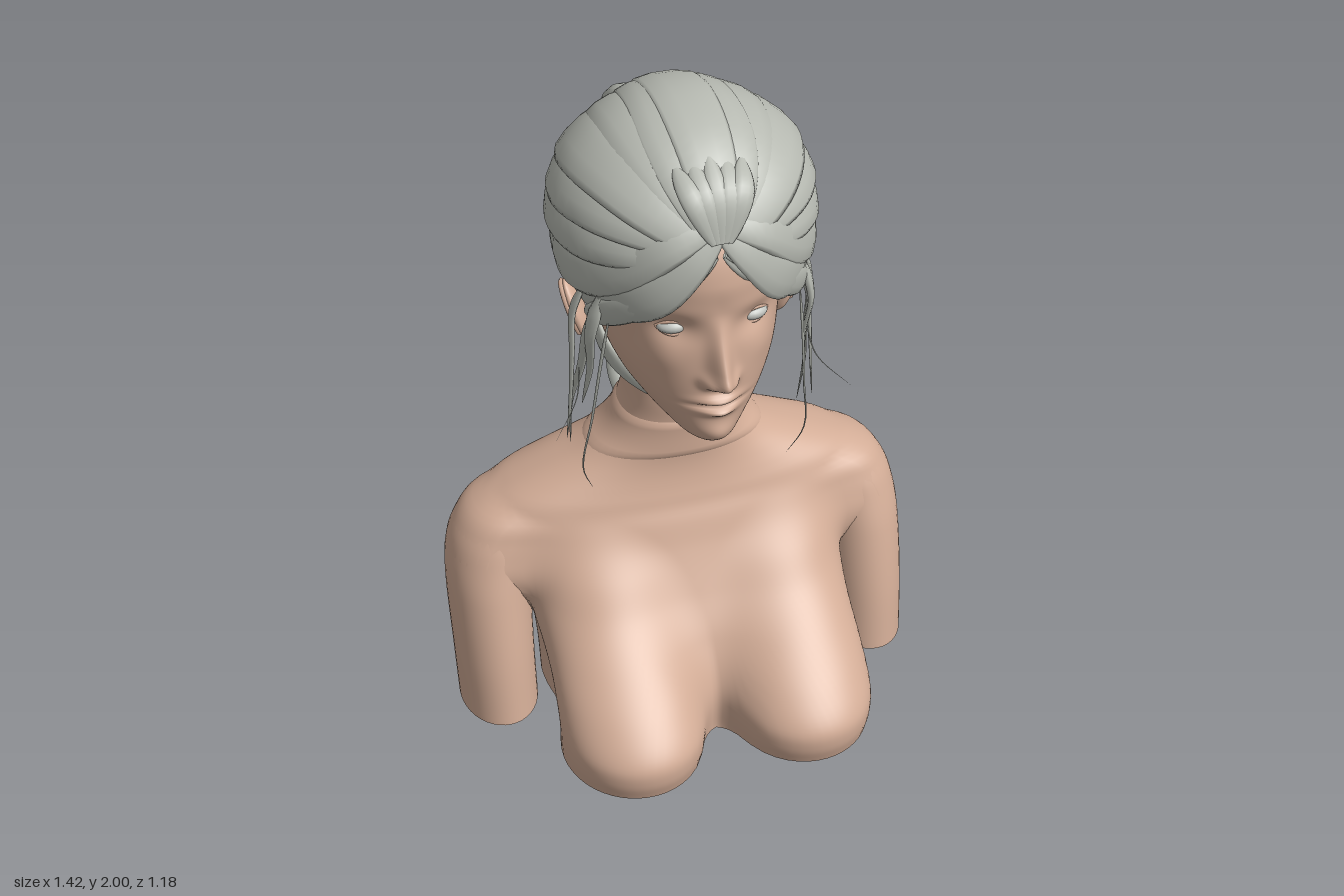
import * as THREE from 'three';
import { mergeVertices, mergeGeometries } from 'three/addons/utils/BufferGeometryUtils.js';

const { sin, cos, abs, sqrt, pow, exp, min, max, PI } = Math;
const V = (x, y, z) => new THREE.Vector3(x, y, z);
const material = (name, color) => Object.assign(new THREE.MeshStandardMaterial({ color }), { name, side: THREE.DoubleSide });

// Smooth surface from a rule: f(u, v) gives a point, u and v run 0..1
function grid(f, nu, nv) {
  const pos = [], idx = [];
  for (let i = 0; i <= nu; i++) for (let j = 0; j <= nv; j++) pos.push(...f(i / nu, j / nv).toArray());
  for (let i = 0; i < nu; i++) for (let j = 0; j < nv; j++) {
    const a = i * (nv + 1) + j, b = a + nv + 1;
    idx.push(a, b, a + 1, b, b + 1, a + 1);
  }
  let g = new THREE.BufferGeometry();
  g.setAttribute('position', new THREE.Float32BufferAttribute(pos, 3));
  g.setIndex(idx);
  g = mergeVertices(g, 1e-5);
  g.computeVertexNormals();
  return g;
}

// Smooth interpolation through rows of [key, value, value...]
function track(rows) {
  const n = rows.length - 1;
  const slope = (i, c) => {
    const a = rows[max(0, i - 1)], b = rows[min(n, i + 1)];
    return (b[c] - a[c]) / (b[0] - a[0]);
  };
  return y => {
    let i = 0;
    while (i < n - 1 && y > rows[i + 1][0]) i++;
    const a = rows[i], b = rows[i + 1], d = b[0] - a[0], t = min(1, max(0, (y - a[0]) / d));
    const t2 = t * t, t3 = t2 * t;
    return a.slice(1).map((p, k) => p * (2 * t3 - 3 * t2 + 1) + b[k + 1] * (3 * t2 - 2 * t3)
      + d * (slope(i, k + 1) * (t3 - 2 * t2 + t) + slope(i + 1, k + 1) * (t3 - t2)));
  };
}

// Lock of hair: flattened tapered sweep, its flat side facing away from a centre
const softTaper = t => pow(sin(PI * (0.04 + 0.92 * t)), 0.6);
const pointTaper = t => min(1, 0.35 + t * 4) * pow(1 - t, 0.7) + 0.01;
function lock(points, w, h, taper = softTaper, n = 24, centre = V(0, 1.55, 0), sides = 10) {
  const curve = new THREE.CatmullRomCurve3(points.map(p => (p.isVector3 ? p : V(...p))));
  return grid((u, v) => {
    const p = curve.getPoint(u), T = curve.getTangent(u), N = p.clone().sub(centre);
    N.addScaledVector(T, -N.dot(T)).normalize();
    const B = T.clone().cross(N), a = v * 2 * PI, k = taper(u);
    return p.addScaledVector(B, cos(a) * w * k).addScaledVector(N, sin(a) * h * k);
  }, n, sides);
}

// Torso and neck rows: y, half width, front z, back z, middle z
const torsoRow = track([
  [0, 0.44, 0.35, -0.28, -0.02], [0.15, 0.445, 0.35, -0.32, -0.03], [0.3, 0.46, 0.29, -0.355, -0.05],
  [0.42, 0.49, 0.22, -0.37, -0.08], [0.54, 0.545, 0.155, -0.362, -0.1], [0.62, 0.57, 0.12, -0.345, -0.11],
  [0.66, 0.56, 0.1, -0.335, -0.11], [0.69, 0.525, 0.09, -0.325, -0.11], [0.72, 0.465, 0.08, -0.312, -0.11],
  [0.76, 0.38, 0.07, -0.292, -0.11], [0.8, 0.3, 0.065, -0.272, -0.1], [0.85, 0.23, 0.065, -0.255, -0.09],
  [0.9, 0.188, 0.066, -0.242, -0.08], [0.95, 0.168, 0.07, -0.228, -0.08], [1.02, 0.155, 0.078, -0.215, -0.07],
  [1.2, 0.152, 0.08, -0.21, -0.07]]);
// Chest rows: y, front z, radius
const chestRow = track([[0, 0.58, 0.21], [0.06, 0.597, 0.213], [0.12, 0.59, 0.213], [0.2, 0.52, 0.21], [0.3, 0.4, 0.203],
  [0.4, 0.28, 0.19], [0.5, 0.18, 0.17], [0.6, 0.05, 0.13], [0.65, -0.03, 0.1]]);
// Arm rows: y, centre x, radius x, centre z, radius z
const armRow = track([[0, 0.587, 0.117, 0.005, 0.165], [0.2, 0.588, 0.12, -0.025, 0.165], [0.4, 0.582, 0.126, -0.075, 0.17],
  [0.5, 0.567, 0.13, -0.1, 0.165], [0.58, 0.545, 0.124, -0.11, 0.148], [0.64, 0.52, 0.095, -0.115, 0.115], [0.68, 0.5, 0.02, -0.12, 0.02]]);
const blend = (a, b, k) => min(a, b) - max(k - abs(a - b), 0) ** 2 / k / 4;

// Blend chest and shoulders into the torso, then find the surface along a ray from the body axis
function bodyPoint(a, y, grow = 0) {
  const [w, zf, zb, zm] = torsoRow(y), [cf, cr] = chestRow(y), [ax, aw, az, ad] = armRow(y);
  const cd = cr * 1.12, dx = sin(a), dz = cos(a), armFade = max(0, (0.52 - y) / 0.22) ** 2 * 0.12;
  const backPower = 2.2 + 0.9 * exp(-(((y - 0.52) / 0.22) ** 2));
  const inside = r => {
    const x = abs(r * dx), z = zm + r * dz, front = z > zm, depth = front ? zf - zm : zm - zb, n = front ? 2.2 : backPower;
    let d = (pow(pow(x / w, n) + pow(abs(z - zm) / depth, n), 1 / n) - 1) * min(w, depth);
    if (y < 0.65) d = blend(d, (sqrt(((x - 0.26) / cr) ** 2 + ((z - cf + cd) / cd) ** 2) - 1) * cr, 0.1);
    // The shoulder section reaches inward so that it fills the fold above the armpit
    const sx = x > ax ? x - ax : min(0, x - ax + 0.16);
    if (y > 0.28 && y < 0.68) d = blend(d, (sqrt((sx / aw) ** 2 + ((z - az) / ad) ** 2) - 1) * aw + armFade, 0.05);
    return d < 0;
  };
  let r = 0.9;
  while (r > 0.02 && !inside(r)) r -= 0.008;
  let lo = r, hi = r + 0.008;
  for (let i = 0; i < 9; i++) { const m = (lo + hi) / 2; inside(m) ? lo = m : hi = m; }
  return V((lo + grow) * dx, y, zm + (lo + grow) * dz);
}

// Head rows: y, half width, front z, back z, middle z
const headRow = track([
  [1.055, 0.045, 0.3, 0.12, 0.22], [1.08, 0.083, 0.335, 0.06, 0.2], [1.11, 0.118, 0.345, 0.02, 0.15],
  [1.16, 0.163, 0.352, -0.05, 0.1], [1.22, 0.205, 0.357, -0.19, 0.06], [1.3, 0.238, 0.36, -0.25, 0.03],
  [1.4, 0.258, 0.358, -0.29, 0], [1.5, 0.27, 0.355, -0.31, 0], [1.6, 0.27, 0.36, -0.32, 0],
  [1.7, 0.26, 0.33, -0.31, 0], [1.8, 0.22, 0.25, -0.25, 0], [1.88, 0.1, 0.1, -0.1, 0]]);
const bump = (x, y, cx, cy, sx, sy) => exp(-(((x - cx) / sx) ** 2) - ((y - cy) / sy) ** 2);
const noseRow = track([[1.2, 0], [1.265, 0], [1.285, 0.03], [1.305, 0.072], [1.32, 0.08], [1.345, 0.066], [1.4, 0.038],
  [1.46, 0.014], [1.51, 0], [1.6, 0]]);
function face(x, y) {
  x = abs(x);
  return noseRow(y)[0] * exp(-((x / (0.028 + 0.006 * bump(0, y, 0, 1.3, 1, 0.04))) ** 2))
    + 0.024 * bump(x, y, 0.037, 1.3, 0.018, 0.02)
    - 0.026 * bump(x, y, 0.11, 1.455, 0.058, 0.042) + 0.004 * bump(x, y, 0.11, 1.515, 0.08, 0.03)
    + 0.01 * bump(x, y, 0.15, 1.36, 0.05, 0.05)
    + 0.024 * bump(x, y, 0, 1.23, 0.055, 0.014) + 0.026 * bump(x, y, 0, 1.194, 0.05, 0.016)
    - 0.016 * bump(x, y, 0, 1.213, 0.075, 0.007) + 0.014 * bump(x, y, 0, 1.11, 0.05, 0.03);
}
function headPoint(a, y, s = 1) {
  const [w, zf, zb, zm] = headRow(y), c = cos(a), x = w * sin(a);
  return V(x * s, y, (zm + c * (c > 0 ? zf - zm : zm - zb) + (c > 0 ? face(x, y) * c : 0)) * s);
}

// Hair meridian: runs from the parting (t = 0) over the skull to the knot (t = PI)
const meridian = (phi, t, s = 1) => V(0.335 * s * sin(phi) * sin(t),
  1.71 - 0.07 * t / PI + (cos(phi) > 0 ? 0.298 : 0.33) * s * cos(phi) * sin(t), 0.355 * s * cos(t) - 0.01);

export function createModel() {
  const model = new THREE.Group();
  const skin = material('skin', 0xd2ac96), hair = material('hair', 0xb6b9b1), eyeMat = material('eye', 0xbec1bc);
  const add = (name, geo, mat) => {
    const m = new THREE.Mesh(geo, mat);
    m.name = name;
    model.add(m);
    return m;
  };
  // Flat closing face for the bottom ring of a form
  const cap = (f, n) => grid((u, v) => f(PI / 2).add(f(-PI / 2)).multiplyScalar(0.5).lerp(f(u * 2 * PI), v), n, 2);

  // Torso, neck and collar band
  add('torso', grid((u, v) => bodyPoint(u * 2 * PI, v * 1.2), 160, 96), skin);
  add('torsoBase', cap(a => bodyPoint(a, 0), 160), skin);
  add('collar', grid((u, v) => bodyPoint(u * 2 * PI, 0.82 + v * 0.13, 0.008 * min(1, 10 * v, 10 * (1 - v))), 64, 10), skin);

  for (const s of [1, -1]) {
    // Arms
    const arm = (a, y) => { const [cx, rx, cz, rz] = armRow(y); return V(s * cx + rx * sin(a), y, cz + rz * cos(a)); };
    const side = s > 0 ? 'left' : 'right';
    add(side + 'Arm', grid((u, v) => arm(u * 2 * PI, v * 0.6), 40, 32), skin);
    add(side + 'ArmBase', cap(a => arm(a, 0), 40), skin);

    // Ear with a raised rim
    const ear = add(side + 'Ear', new THREE.SphereGeometry(1, 20, 16).scale(0.022, 0.105, 0.052), skin);
    const rim = new THREE.Mesh(new THREE.TorusGeometry(0.042, 0.009, 8, 28, PI * 1.3).rotateZ(-0.3).rotateY(PI / 2).scale(1, 2, 1), skin);
    rim.name = 'earRim';
    rim.position.set(s * 0.012, 0.005, 0);
    ear.add(rim);
    ear.position.set(s * 0.3, 1.35, 0.0);
    ear.rotation.set(-0.1, s * 0.35, -s * 0.32);

    // Eye and lids
    const eye = add(side + 'Eye', new THREE.SphereGeometry(1, 20, 14).scale(0.042, 0.021, 0.03), eyeMat);
    eye.position.set(s * 0.115, 1.455, 0.286);
    eye.rotation.y = s * 0.3;
    for (const k of [1, -1]) {
      const lid = [-1, -0.5, 0, 0.5, 1].map(t => V(s * 0.115 + t * 0.042, 1.455 + k * 0.021 * (1 - t * t), 0.303 - t * s * 0.013 - t * t * 0.015));
      add(side + 'Eyelid', new THREE.TubeGeometry(new THREE.CatmullRomCurve3(lid), 16, 0.005, 6), skin);
    }
  }

  // Head, denser towards the face
  const spread = u => { const t = u * 2 * PI; return t - 0.5 * sin(t); };
  add('head', grid((u, v) => headPoint(spread(u), 1.055 + v * 0.825), 128, 120), skin);
  add('chinBase', cap(a => headPoint(a, 1.055), 64), skin);

  // Hair underlayers
  const half = 2.1;
  add('hairBase', grid((u, v) => meridian((u * 2 - 1) * half, v * PI, 0.96), 48, 32), hair);
  add('napeHair', grid((u, v) => headPoint(1.9 + u * (2 * PI - 3.8), 1.17 + v * 0.55, 1.03), 32, 20), hair);

  // Swept locks over the skull, uneven in width and height
  const locks = [];
  for (let i = -7; i <= 7; i++) {
    const phi = i / 7 * 2.08, wob = 1 + 0.02 * sin(i * i * 2.3 + 1);
    const pts = [0.05, 0.3, 0.7, 1.1, 1.57, 2.05, 2.5, 2.85, 3.1].map(t => meridian(phi + 0.07 * sin(t * 2 + abs(i)) * Math.sign(i), t, wob));
    locks.push(lock(pts, 0.082 + 0.012 * cos(i * 2), 0.024, t => 0.2 + 0.8 * pow(sin(PI * t), 0.8), 32));
  }
  // Tuft at the parting
  for (let i = -2; i <= 2; i++)
    locks.push(lock([[i * 0.045, 1.93 - abs(i) * 0.01, 0.24], [i * 0.034, 1.86, 0.325], [i * 0.01, 1.74, 0.365]], 0.032, 0.014, softTaper, 14));

  // Locks mirrored on both sides: points, width, thickness
  const sideLocks = [
    [[[0.005, 1.76, 0.35], [0.09, 1.68, 0.355], [0.18, 1.58, 0.315], [0.265, 1.52, 0.21], [0.315, 1.5, 0.06], [0.28, 1.52, -0.15]], 0.072, 0.02],
    [[[0.01, 1.78, 0.34], [0.14, 1.73, 0.325], [0.25, 1.63, 0.24], [0.33, 1.57, 0.1], [0.335, 1.57, -0.05], [0.22, 1.6, -0.27]], 0.075, 0.025],
    [[[0.12, 1.64, 0.35], [0.21, 1.54, 0.29], [0.285, 1.46, 0.19], [0.305, 1.42, 0.12]], 0.045, 0.015],
    [[[0.29, 1.5, 0.05], [0.29, 1.46, -0.1], [0.22, 1.46, -0.25], [0.11, 1.55, -0.35], [0.02, 1.66, -0.39]], 0.065, 0.025],
    [[[0.27, 1.43, -0.05], [0.25, 1.4, -0.17], [0.17, 1.42, -0.28], [0.08, 1.5, -0.35], [0.02, 1.62, -0.39]], 0.06, 0.022],
    [[[0.25, 1.36, -0.08], [0.21, 1.33, -0.2], [0.13, 1.35, -0.29], [0.05, 1.43, -0.34], [0.01, 1.56, -0.38]], 0.055, 0.02],
    [[[0.07, 1.78, -0.34], [0.09, 1.71, -0.41], [0.08, 1.62, -0.46], [0.02, 1.53, -0.49]], 0.05, 0.045],
    [[[0.02, 1.78, -0.35], [0.045, 1.76, -0.42], [0.05, 1.69, -0.49], [0.01, 1.6, -0.51]], 0.045, 0.035]];
  const strands = [
    [[[0.28, 1.5, 0.2], [0.315, 1.4, 0.17], [0.325, 1.25, 0.12], [0.345, 1.1, 0.07], [0.34, 0.92, 0.03]], 0.024, 0.012],
    [[[0.29, 1.52, 0.2], [0.315, 1.4, 0.19], [0.31, 1.27, 0.16], [0.325, 1.12, 0.12]], 0.028, 0.012],
    [[[0.31, 1.52, 0.12], [0.34, 1.42, 0.1], [0.345, 1.28, 0.1], [0.355, 1.1, 0.1], [0.365, 0.98, 0.09]], 0.017, 0.01],
    [[[0.27, 1.46, 0.22], [0.29, 1.3, 0.2], [0.31, 1.1, 0.17], [0.33, 0.9, 0.13], [0.29, 0.78, 0.09]], 0.006, 0.005],
    [[[0.33, 1.25, 0.12], [0.35, 1.17, 0.16], [0.43, 1.1, 0.24]], 0.0025, 0.0025]];
  for (const s of [1, -1]) {
    const flip = pts => pts.map(([x, y, z]) => [s * x, y, z]);
    for (const [p, w, h] of sideLocks) locks.push(lock(flip(p), w, h));
    add('looseStrands', mergeGeometries(strands.map(([p, w, h]) => lock(flip(p), w, h, pointTaper, 20, V(0, 1.3, 0), 8))), hair);
  }
  add('sweptHair', mergeGeometries(locks), hair);

  // Lock wrapped from the nape to beneath the chin
  add('chinBand', grid((u, v) => {
    const a = u * 2 * PI, b = v * 2 * PI, k = (1 - cos(a)) / 2, r = 1 + 0.06 * cos(b);
    return V(0.205 * sin(a) * (1 - 0.18 * cos(a)) * r, 1.155 - 0.085 * cos(a) + (0.014 + 0.044 * sqrt(k) * (0.6 + 0.4 * k)) * sin(b), -0.09 + 0.21 * cos(a) * r);
  }, 56, 12), hair);

  // Three-strand braid, tie and tail
  const braidZ = track([[0.6, -0.48], [0.8, -0.495], [1, -0.51], [1.2, -0.49], [1.4, -0.48], [1.6, -0.462], [1.76, -0.41]]);
  const braid = [0, 1, 2].map(k => {
    const pts = [];
    for (let i = 0; i <= 48; i++) {
      const t = i / 48, y = 1.73 - 1.11 * t, p = k * 2 * PI / 3 + t * 2.7 * 2 * PI, q = min(1 - 0.3 * t, 0.3 + 7 * (1 - t));
      pts.push(V(0.068 * q * sin(p), y, braidZ(y)[0] - 0.046 * q * sin(2 * p)));
    }
    return lock(pts, 0.056, 0.05, t => (1 - 0.3 * t) * min(1, 0.4 + 8 * t, 0.35 + 9 * (1 - t)), 110, V(0, 1.2, 0));
  });
  add('braid', mergeGeometries(braid), hair);
  add('braidTie', new THREE.SphereGeometry(0.032, 16, 12).translate(0, 0.6, -0.48), hair);
  const tail = [lock([[0, 0.6, -0.48], [0, 0.45, -0.485], [0, 0.32, -0.49], [0, 0.2, -0.5]], 0.05, 0.05, t => 0.2 + 0.8 * sin(PI * pow(t, 0.85)) - 0.18 * t, 20)];
  for (let i = 0; i < 7; i++) {
    const a = i / 7 * 2 * PI, x = sin(a), z = cos(a);
    tail.push(lock([[x * 0.015, 0.59, -0.48 + z * 0.015], [x * 0.042, 0.46, -0.485 + z * 0.042], [x * 0.036, 0.34, -0.49 + z * 0.036],
      [x * 0.012, 0.19 + 0.02 * (i % 3), -0.5 + z * 0.012]], 0.018, 0.016, softTaper, 16, V(0, 0.4, -0.2), 8));
  }
  add('braidTail', mergeGeometries(tail), hair);
  return model;
}
